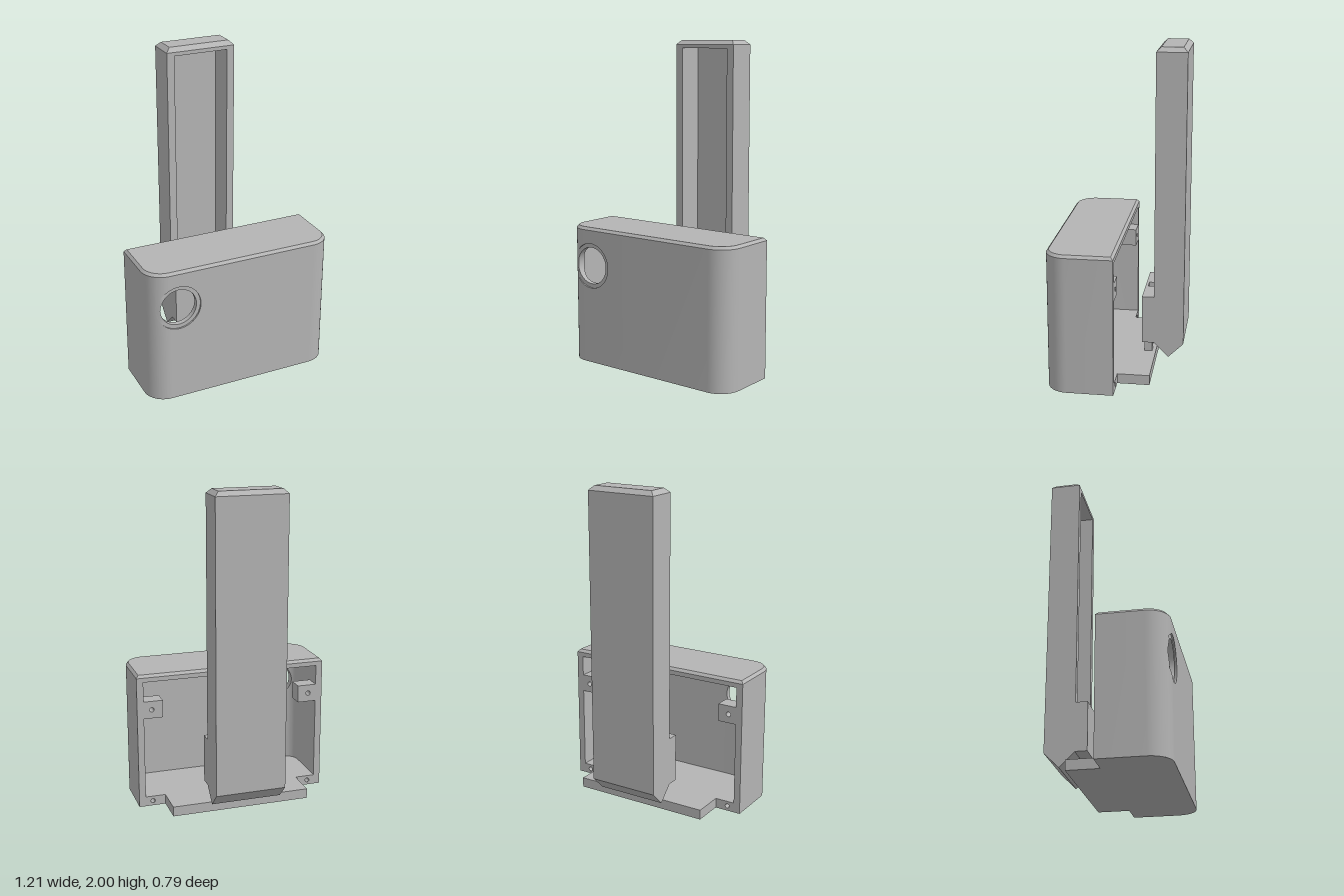
import * as THREE from 'three';
import { mergeGeometries, toCreasedNormals } from 'three/addons/utils/BufferGeometryUtils.js';

const BACK = -0.018, FLOOR = 0.062, RIM_TOP = 0.843, CEILING = 0.815;
const port = { x: -0.42, y: 0.62, outer: 0.14, inner: 0.115, seatZ: 0.382 };
// plan outlines: half width, front z, corner radius, back z
const OUT = { hw: 0.607, zf: 0.392, r: 0.13, zb: BACK };
const TOP = { hw: 0.592, zf: 0.377, r: 0.115, zb: BACK + 0.015 };
const INN = { hw: 0.565, zf: 0.35, r: 0.088, zb: BACK };

const poly = (pts) => new THREE.Shape(pts.map(([x, y]) => new THREE.Vector2(x, y)));
const rect = (x0, x1, y0, y1) => poly([[x0, y0], [x1, y0], [x1, y1], [x0, y1]]);
const circle = (x, y, r) => new THREE.Path().absarc(x, y, r, 0, Math.PI * 2);

// front z of a rounded plan outline at a given x
function frontZ(o, x) {
  const d = Math.min(o.r, Math.max(0, Math.abs(x) - (o.hw - o.r)));
  return o.zf - o.r + Math.sqrt(o.r * o.r - d * d);
}

// points of a plan outline, back left round the front to back right
function outline(o, extra = []) {
  const xs = [...extra];
  for (let i = 0; i <= 12; i++) {
    const x = o.hw - o.r + o.r * Math.cos((i / 12) * Math.PI / 2);
    xs.push(x, -x);
  }
  xs.sort((a, b) => a - b);
  return [[-o.hw, o.zb], ...xs.map((x) => [x, frontZ(o, x)]), [o.hw, o.zb]];
}

function fromTriangles(pos) {
  const g = new THREE.BufferGeometry();
  g.setAttribute('position', new THREE.Float32BufferAttribute(pos, 3));
  return toCreasedNormals(g, 0.5);
}

const quad = (pos, a, b, c, d) => pos.push(...a, ...b, ...c, ...a, ...c, ...d);

// vertical wall around an outline, leaving the round port open
function wall(o, y0, y1, R) {
  const extra = [];
  for (let i = 0; i <= 32; i++) extra.push(port.x + R * Math.cos(i / 32 * Math.PI));
  const pts = outline(o, extra), pos = [];
  const half = (x) => Math.sqrt(Math.max(0, R * R - (x - port.x) ** 2));
  for (let i = 0; i + 1 < pts.length; i++) {
    const [ax, az] = pts[i], [bx, bz] = pts[i + 1];
    if (Math.abs(ax - bx) + Math.abs(az - bz) < 1e-5) continue;
    const strip = (a0, b0, a1, b1) =>
      quad(pos, [ax, a0, az], [bx, b0, bz], [bx, b1, bz], [ax, a1, az]);
    if (Math.abs((ax + bx) / 2 - port.x) < R) {
      strip(y0, y0, port.y - half(ax), port.y - half(bx));
      strip(port.y + half(ax), port.y + half(bx), y1, y1);
    } else strip(y0, y0, y1, y1);
  }
  return fromTriangles(pos);
}

// horizontal face with a plan outline
const flat = (pts, y) => new THREE.ShapeGeometry(poly(pts)).rotateX(Math.PI / 2).translate(0, y, 0);

// chamfered cap between two loops of equal count
function cap(low, y0, high, y1) {
  const pos = [];
  low.forEach((p, i) => {
    const j = (i + 1) % low.length;
    quad(pos, [p[0], y0, p[1]], [low[j][0], y0, low[j][1]], [high[j][0], y1, high[j][1]], [high[i][0], y1, high[i][1]]);
  });
  const top = flat(high, y1).toNonIndexed();
  top.deleteAttribute('uv');
  return mergeGeometries([fromTriangles(pos), top]);
}

// tubular port wall whose two ends follow the given z functions
function bore(R, zFront, zBack) {
  const g = new THREE.CylinderGeometry(R, R, 1, 64, 1, true).rotateX(Math.PI / 2);
  const p = g.attributes.position;
  for (let i = 0; i < p.count; i++) p.setZ(i, (p.getZ(i) > 0 ? zFront : zBack)(p.getX(i) + port.x));
  return g.translate(port.x, port.y, 0);
}

const extrude = (shape, depth) => new THREE.ExtrudeGeometry(shape, { depth, bevelEnabled: false, curveSegments: 16 });

function box(x0, x1, y0, y1, z0, z1) {
  return new THREE.BoxGeometry(x1 - x0, y1 - y0, z1 - z0)
    .translate((x0 + x1) / 2, (y0 + y1) / 2, (z0 + z1) / 2);
}

export function createModel() {
  const model = new THREE.Group();
  model.name = 'caseWithColumn';
  const grey = new THREE.MeshStandardMaterial({ color: 0xb4b4b4, side: THREE.DoubleSide });
  grey.name = 'grey plastic';
  const add = (name, geometry, parent) => {
    const m = new THREE.Mesh(geometry, grey);
    m.name = name;
    parent.add(m);
  };
  const group = (name) => {
    const g = new THREE.Group();
    g.name = name;
    model.add(g);
    return g;
  };

  // hollow case, open at the back
  const body = group('case');
  add('outerWall', wall(OUT, 0, RIM_TOP, port.outer), body);
  add('innerWall', wall(INN, FLOOR, CEILING, port.inner), body);
  add('chamferedTop', cap(outline(OUT), RIM_TOP, outline(TOP), 0.86), body);
  add('underside', flat(outline(OUT), 0), body);
  add('floor', flat(outline(INN), FLOOR), body);
  add('ceiling', flat(outline(INN), CEILING), body);
  const rim = rect(-0.607, 0.607, 0, RIM_TOP);
  rim.holes.push(rect(-0.565, 0.565, FLOOR, CEILING));
  for (const s of [-1, 1]) rim.holes.push(circle(s * 0.52, 0.031, 0.014));
  add('backRim', new THREE.ShapeGeometry(rim, 16).rotateY(Math.PI).translate(0, 0, BACK), body);

  // round front port with a shallow seat
  const seatZ = (x) => Math.min(port.seatZ, frontZ(OUT, x));
  const seat = new THREE.RingGeometry(port.inner, port.outer, 64, 3);
  const sp = seat.attributes.position;
  for (let i = 0; i < sp.count; i++) sp.setZ(i, seatZ(sp.getX(i) + port.x));
  seat.computeVertexNormals();
  add('portSeat', seat.translate(port.x, port.y, 0), body);
  add('portLip', bore(port.outer, (x) => frontZ(OUT, x), seatZ), body);
  add('portBore', bore(port.inner, seatZ, (x) => frontZ(INN, x)), body);

  // screw bosses on the side walls and screw holes in the floor edge
  for (const s of [-1, 1]) {
    const boss = rect(Math.min(s * 0.445, s * 0.565), Math.max(s * 0.445, s * 0.565), 0.58, 0.69);
    boss.holes.push(circle(s * 0.515, 0.635, 0.015));
    add('screwBoss', extrude(boss, 0.1).translate(0, 0, BACK), body);
    const hole = new THREE.CylinderGeometry(0.014, 0.014, 0.1, 16, 1, true).rotateX(Math.PI / 2);
    add('screwHole', hole.translate(s * 0.52, 0.031, BACK + 0.05), body);
  }
  add('rearTongue', box(-0.44, 0.44, 0, FLOOR, -0.213, BACK), body);

  // channelled bracket joining the tongue and the column
  const bracket = group('bracket');
  const channel = (hw, zBack, y0, y1) => extrude(poly([
    [-hw, -0.14], [-hw, zBack], [-0.033, zBack], [-0.033, -0.157],
    [0.033, -0.157], [0.033, zBack], [hw, zBack], [hw, -0.14],
  ]), y1 - y0).rotateX(Math.PI / 2).translate(0, y1, 0);
  add('bracketBlock', channel(0.22, -0.213, 0.18, 0.48), bracket);
  add('bracketPost', channel(0.085, -0.19, FLOOR, 0.18), bracket);

  // tall column with a deep front recess
  const column = group('column');
  const front = -0.213, back = -0.396, hw = 0.22;
  const frame = rect(-hw, hw, 0.18, 1.973);
  frame.holes.push(rect(-0.172, 0.172, 0.21, 1.95));
  add('columnFrame', extrude(frame, 0.165).translate(0, 0, front - 0.165), column);
  add('columnBack', box(-hw, hw, 0.18, 1.973, back, front - 0.165), column);
  const loop = (c) => [[-hw + c, back + c], [-hw + c, front - c], [hw - c, front - c], [hw - c, back + c]];
  add('columnCap', cap(loop(0), 1.973, loop(0.027), 2), column);
  const wedge = poly([[-front, 0.18], [-back, 0.18], [-(front + back) / 2, 0.09]]);
  add('columnWedge', extrude(wedge, 2 * hw).rotateY(Math.PI / 2).translate(-hw, 0, 0), column);
  return model;
}
